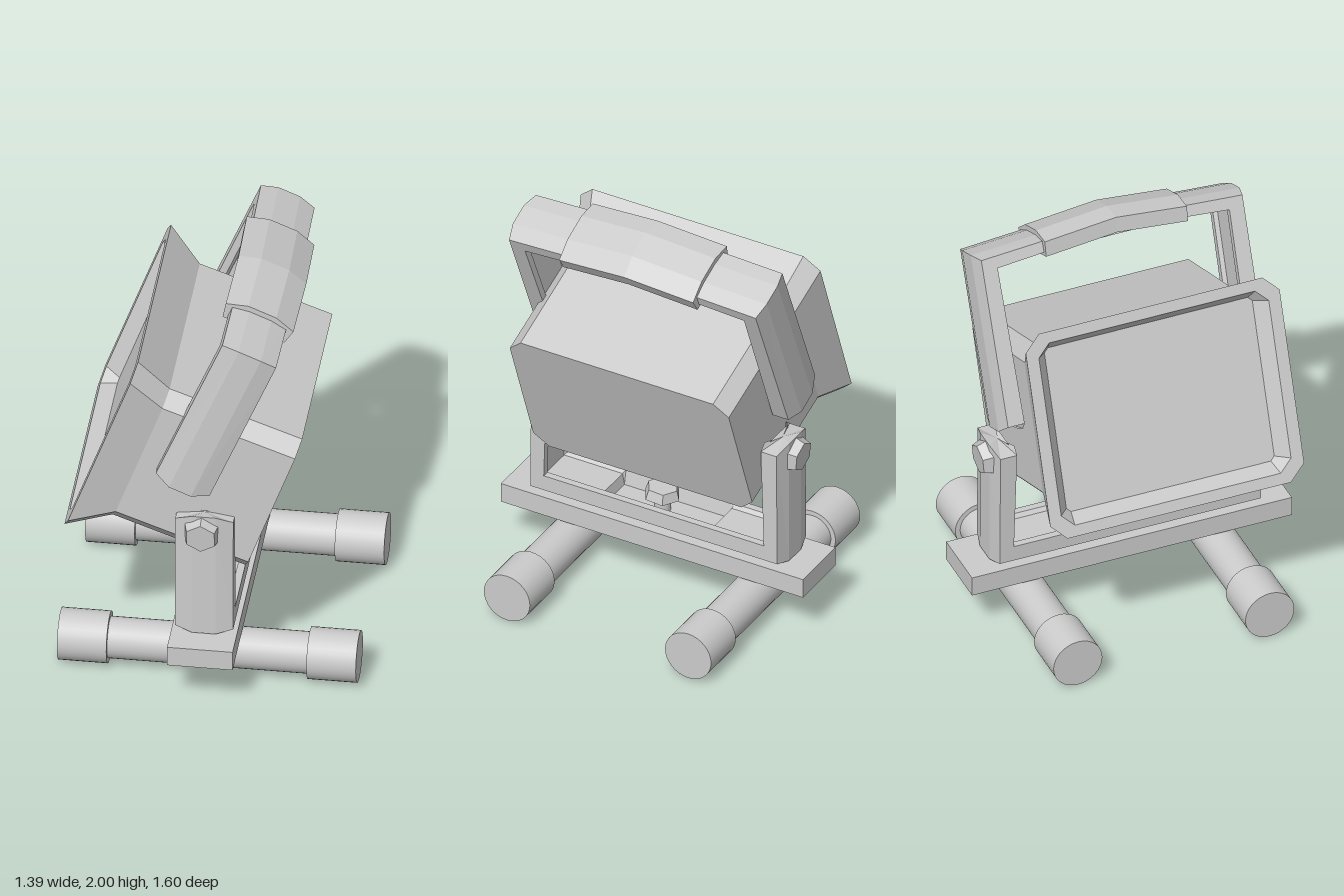
import * as THREE from 'three';

const flat = new THREE.MeshStandardMaterial({ color: 0xcccccc, flatShading: true });
const smooth = new THREE.MeshStandardMaterial({ color: 0xcccccc });

function add(parent, name, geometry, material = flat) {
  const mesh = new THREE.Mesh(geometry, material);
  mesh.name = name;
  parent.add(mesh);
  return mesh;
}

// Closed solid through rings of equal point count, with fan caps; always wound outward
function loft(rings) {
  const tris = [];
  const n = rings[0].length;
  for (let i = 0; i < rings.length - 1; i++) {
    for (let j = 0; j < n; j++) {
      const k = (j + 1) % n;
      const [a, b, c, d] = [rings[i][j], rings[i][k], rings[i + 1][k], rings[i + 1][j]];
      tris.push([a, b, c], [a, c, d]);
    }
  }
  const cap = (ring, flip) => {
    const mid = ring.reduce((s, p) => s.add(p), new THREE.Vector3()).divideScalar(n);
    ring.forEach((p, j) => {
      const q = ring[(j + 1) % n];
      tris.push(flip ? [mid, q, p] : [mid, p, q]);
    });
  };
  cap(rings[0], true);
  cap(rings[rings.length - 1], false);
  const volume = tris.reduce((s, [a, b, c]) => s + a.dot(b.clone().cross(c)), 0);
  if (volume < 0) tris.forEach((t) => t.reverse());
  const geometry = new THREE.BufferGeometry().setFromPoints(tris.flat());
  geometry.computeVertexNormals();
  return geometry;
}

// Strap cross-section: x across, t outward; bevelled outside, hollowed inside
const strapSection = (hollow) => [
  [-0.135, 0], [-0.135, 0.083], [-0.055, 0.105], [0.055, 0.105], [0.135, 0.083], [0.135, 0],
  [0.1, 0], [0.085, hollow], [-0.085, hollow], [-0.1, 0],
];
const gripSection = [
  [-0.155, 0], [-0.17, 0.075], [-0.07, 0.11], [0.07, 0.11], [0.17, 0.075], [0.155, 0],
];

// Station: inner point (z, y), outward vector (oz, oy), hollow depth, end extension in y
function strapRing({ z, y, oz, oy, hollow = 0.02, tip = 0 }) {
  return strapSection(hollow).map(([x, t]) =>
    new THREE.Vector3(x, y + oy * t + (Math.abs(x) < 0.12 ? tip : 0), z + oz * t));
}

// Half path from the +z end, mirrored to the -z end
function strap(half) {
  const other = half.map((s) => ({ ...s, z: -s.z, oz: -s.oz })).reverse();
  return loft([...half, ...other].map(strapRing));
}

// Rectangle with cut corners, facing along x
function cutRect(x, h, w, c) {
  return [
    [h, w - c], [h - c, w], [c - h, w], [-h, w - c],
    [-h, c - w], [c - h, -w], [h - c, -w], [h, c - w],
  ].map(([y, z]) => new THREE.Vector3(x, y, z));
}

export function createModel() {
  const model = new THREE.Group();
  model.name = 'workLight';

  // Two foot bars with thicker end caps
  for (const z of [0.46, -0.5]) {
    const foot = new THREE.Group();
    foot.name = 'foot';
    foot.position.set(0, 0.125, z);
    model.add(foot);
    const bar = add(foot, 'footBar', new THREE.CylinderGeometry(0.098, 0.098, 1.0, 32), smooth);
    bar.rotation.z = Math.PI / 2;
    for (const side of [-1, 1]) {
      const end = add(foot, 'footEndCap', new THREE.CylinderGeometry(0.122, 0.122, 0.23, 32), smooth);
      end.rotation.z = Math.PI / 2;
      end.position.x = side * 0.58;
    }
  }

  // Cross plate
  add(model, 'basePlate', new THREE.BoxGeometry(0.305, 0.1, 1.6)).position.y = 0.28;

  // U-shaped stand with a slot in its floor
  add(model, 'standBracket', strap([
    { z: 0.567, y: 0.953, oz: 1, oy: 0, tip: 0.032 },
    { z: 0.583, y: 0.435, oz: 0.85, oy: -0.95 },
    { z: 0.29, y: 0.435, oz: 0, oy: -0.95 },
    { z: 0.28, y: 0.435, oz: 0, oy: -0.95, hollow: 0.08 },
  ]));

  // Hex bolts: one per side and one in the floor
  const hex = new THREE.CylinderGeometry(0.075, 0.09, 0.05, 6);
  for (const side of [-1, 1]) {
    const bolt = add(model, 'sideBolt', hex);
    bolt.position.set(-0.01, 0.89, side * 0.685);
    bolt.rotation.set(side * (Math.PI / 2 + 0.08), 0, 0);
  }
  const floorBolt = add(model, 'floorBolt', hex);
  floorBolt.position.set(0, 0.46, 0.03);
  floorBolt.rotation.x = -0.06;
  add(model, 'floorBoltShaft', new THREE.CylinderGeometry(0.04, 0.04, 0.12, 12), smooth)
    .position.set(0, 0.39, 0.03);

  // Lamp housing, tilted upward; local -x is the direction of the light
  const lamp = new THREE.Group();
  lamp.name = 'lamp';
  lamp.position.set(0.307, 1.005, 0.023);
  lamp.rotation.z = THREE.MathUtils.degToRad(-20);
  model.add(lamp);
  add(lamp, 'lampHousing', loft([
    cutRect(0, 0.388, 0.58, 0.07),
    cutRect(-0.656, 0.388, 0.58, 0.07),
    cutRect(-0.846, 0.5, 0.635, 0.076),
    cutRect(-0.846, 0.445, 0.575, 0.06),
    cutRect(-0.775, 0.4, 0.52, 0.02),
  ]));

  // Carrying handle, tilted with the lamp
  const handle = new THREE.Group();
  handle.name = 'handle';
  handle.position.set(-0.1, 1.145, 0);
  handle.rotation.z = THREE.MathUtils.degToRad(-22.5);
  model.add(handle);
  add(handle, 'handleStrap', strap([
    { z: 0.567, y: 0, oz: 1, oy: 0, tip: -0.03 },
    { z: 0.58, y: 0.755, oz: 0.88, oy: 0.65 },
    { z: 0.33, y: 0.775, oz: 0, oy: 0.65 },
  ]));

  // Thicker grip, peaked in the middle
  const gripRing = (z, y) => gripSection.map(([x, t]) => new THREE.Vector3(x, y + t, z));
  add(handle, 'handleGrip', loft([
    gripRing(0.365, 0.757), gripRing(0.015, 0.788), gripRing(-0.345, 0.757),
  ]));

  return model;
}
